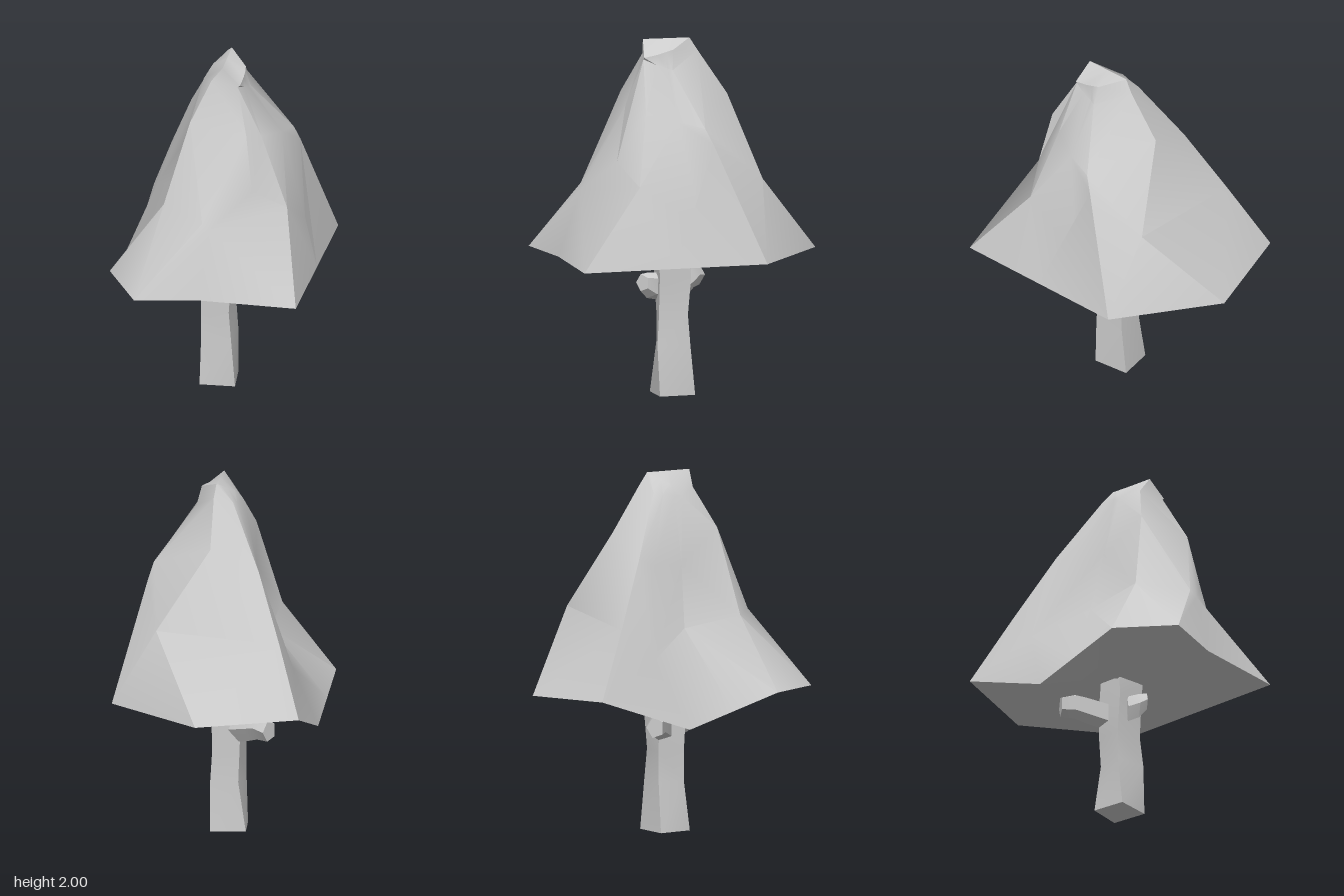
import * as THREE from 'three';
import { toCreasedNormals } from 'three/addons/utils/BufferGeometryUtils.js';

const material = new THREE.MeshStandardMaterial({ color: 0xcccccc });
const vec = (p) => new THREE.Vector3(...p);

// True when d lies in front of the triangle a, b, c
function inFront(a, b, c, d) {
  const plane = new THREE.Plane().setFromCoplanarPoints(vec(a), vec(b), vec(c));
  return plane.distanceToPoint(vec(d)) > 0;
}

const centre = (ring) => [0, 1, 2].map((k) => ring.reduce((s, p) => s + p[k], 0) / ring.length);

// Skin a stack of equal-length rings (counter-clockwise seen from the last ring) and cap both ends.
// Each quad is split along its outward-bulging diagonal.
function loft(name, rings, crease, tip = centre(rings[rings.length - 1])) {
  const pos = [];
  const tri = (a, b, c) => pos.push(...a, ...b, ...c);
  const n = rings[0].length;
  const last = rings[rings.length - 1];
  const foot = centre(rings[0]);
  for (let i = 0; i < n; i++) {
    const j = (i + 1) % n;
    for (let r = 0; r < rings.length - 1; r++) {
      const a = rings[r][i], b = rings[r][j], c = rings[r + 1][j], d = rings[r + 1][i];
      if (inFront(a, b, c, d)) {
        tri(a, b, d);
        tri(b, c, d);
      } else {
        tri(a, b, c);
        tri(a, c, d);
      }
    }
    tri(foot, rings[0][j], rings[0][i]);
    tri(tip, last[i], last[j]);
  }
  const geo = new THREE.BufferGeometry();
  geo.setAttribute('position', new THREE.Float32BufferAttribute(pos, 3));
  const mesh = new THREE.Mesh(toCreasedNormals(geo, crease), material);
  mesh.name = name;
  return mesh;
}

// Ridges and hollows of the foliage, each running from skirt to shoulder
const ribs = [
  [[-0.81, 0.83, -0.28], [-0.58, 1.2, -0.21], [-0.35, 1.56, -0.15], [-0.1, 1.9, -0.11]],
  [[-0.5, 0.64, 0.16], [-0.51, 1.02, -0.04], [-0.28, 1.52, -0.08], [-0.08, 1.89, -0.06]],
  [[-0.34, 0.725, 0.38], [-0.2, 1.16, 0.08], [-0.12, 1.51, 0.05], [-0.05, 1.88, 0]],
  [[-0.18, 0.81, 0.6], [0, 1.21, 0.36], [0.06, 1.69, 0.22], [-0.03, 1.87, 0.04]],
  [[0.17, 0.8, 0.73], [0.31, 1.2, 0.35], [0.35, 1.66, 0.06], [0.08, 1.91, 0.08]],
  [[0.39, 0.79, 0.45], [0.35, 1.17, 0.33], [0.42, 1.35, 0.08], [0.22, 1.9, 0.01]],
  [[0.81, 0.78, 0.1], [0.51, 1.23, -0.1], [0.34, 1.62, -0.06], [0.2, 1.87, -0.06]],
  [[0.51, 0.79, -0.32], [0.32, 1, -0.4], [0.31, 1.58, -0.24], [0.17, 1.85, -0.11]],
  [[0.21, 0.8, -0.74], [0.245, 1.45, -0.43], [0.25, 1.54, -0.38], [0.16, 1.84, -0.14]],
  [[-0.45, 0.8, -0.73], [-0.01, 1.24, -0.61], [-0.15, 1.68, -0.33], [-0.04, 1.93, -0.2]],
];

// Tilted crown that closes the ribs
const crown = [
  [-0.03, 1.99, -0.14], [-0.03, 1.96, -0.08], [-0.03, 1.94, -0.03], [-0.03, 1.93, -0.02], [0.14, 2, 0.05],
  [0.23, 1.91, 0], [0.19, 1.925, -0.06], [0.16, 1.94, -0.1], [0.13, 1.95, -0.13], [-0.02, 2, -0.16],
];

// Four-cornered trunk ring: left, front, right, back corners as seen from the front
const trunkRing = (y, left, front, right, back, sway) => [
  [left, y, -0.06 + sway], [-0.02 + sway, y, front], [right, y, -0.05 - sway], [-0.01 - sway, y, back],
];

// Five-sided limb section across the x axis; dir is the side the limb grows towards
const limbRing = (dir, x, y, z, ry, rz) =>
  Array.from({ length: 5 }, (_, i) => {
    const a = 0.3 + (i * Math.PI * 2) / 5;
    return [x, y + Math.cos(a) * ry, z + dir * Math.sin(a) * rz];
  });

export function createModel() {
  const tree = new THREE.Group();
  tree.name = 'tree';

  const foliageRings = [0, 1, 2, 3].map((r) => ribs.map((rib) => rib[r]));
  tree.add(loft('foliage', [...foliageRings, crown], 0.6, [0.06, 2, -0.055]));

  tree.add(loft('trunk', [
    trunkRing(0, -0.15, 0.08, 0.13, -0.2, 0),
    trunkRing(0.28, -0.11, 0.05, 0.12, -0.18, -0.02),
    trunkRing(0.45, -0.12, 0.05, 0.1, -0.165, -0.02),
    trunkRing(0.66, -0.12, 0.06, 0.11, -0.18, -0.01),
    trunkRing(0.82, -0.11, 0.05, 0.12, -0.18, -0.01),
  ], 0.4));

  // Branch growing to the right-hand side, with a raised knob
  tree.add(loft('branch', [
    limbRing(-1, -0.06, 0.58, -0.06, 0.085, 0.06),
    limbRing(-1, -0.2, 0.615, -0.06, 0.08, 0.06),
    limbRing(-1, -0.26, 0.63, -0.06, 0.075, 0.055),
    limbRing(-1, -0.34, 0.62, -0.06, 0.06, 0.05),
  ], 0.4));

  // Short broken stub on the other side
  tree.add(loft('branchStub', [
    limbRing(1, 0.02, 0.6, 0, 0.08, 0.05),
    limbRing(1, 0.08, 0.61, 0.035, 0.075, 0.055),
    limbRing(1, 0.12, 0.63, 0.06, 0.05, 0.04),
  ], 0.4));

  return tree;
}
